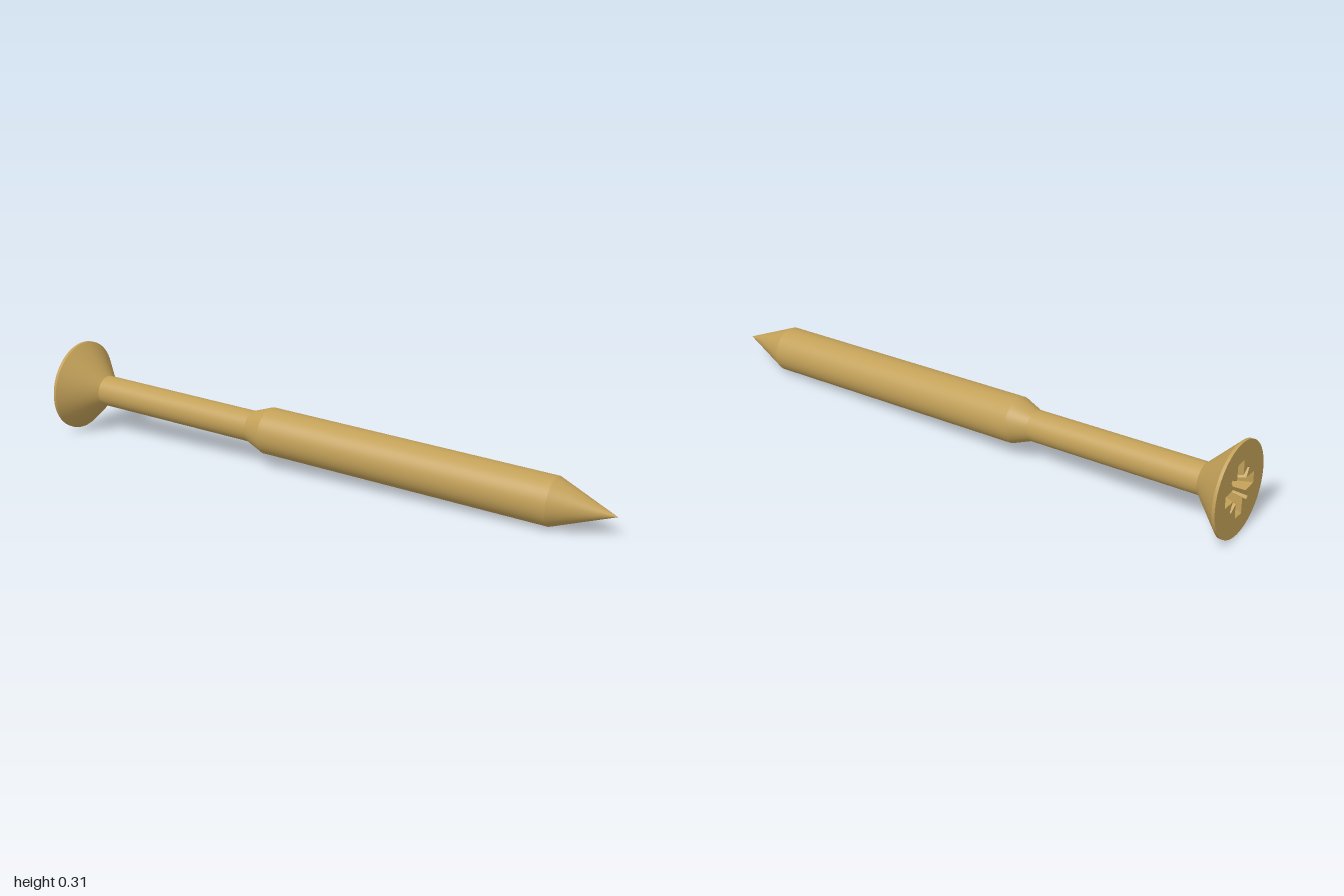
import * as THREE from 'three';

const brass = new THREE.MeshStandardMaterial({ color: 0xc2a058 });
brass.name = 'brass';

// Surface of revolution along +x from (position, radius) to (position, radius)
function section(name, x0, r0, x1, r1) {
  const geo = new THREE.LatheGeometry([new THREE.Vector2(r0, x0), new THREE.Vector2(r1, x1)], 64);
  geo.rotateZ(-Math.PI / 2);
  const mesh = new THREE.Mesh(geo, brass);
  mesh.name = name;
  return mesh;
}

// Cross outline with four wide wings and four narrow diagonal ribs
function crossOutline() {
  const quarter = [[0.092, -0.02], [0.092, 0.02], [0.04, 0.022], [0.058, 0.05], [0.05, 0.058], [0.022, 0.04]];
  const points = [];
  for (let i = 0; i < 4; i++) {
    const angle = i * Math.PI / 2;
    for (const [x, y] of quarter) {
      points.push(new THREE.Vector2(x, y).rotateAround(new THREE.Vector2(), angle));
    }
  }
  return points;
}

// Flat head face, pierced by the driver recess
function headFace(outline, radius) {
  const shape = new THREE.Shape();
  shape.absarc(0, 0, radius, 0, Math.PI * 2);
  shape.holes.push(new THREE.Path(outline));
  const mesh = new THREE.Mesh(new THREE.ShapeGeometry(shape, 32).rotateY(-Math.PI / 2), brass);
  mesh.name = 'headFace';
  return mesh;
}

// Tapering walls and floor of the recess
function recess(outline, depth, taper) {
  const group = new THREE.Group();
  group.name = 'driverRecess';
  const positions = [];
  outline.forEach((p, i) => {
    const q = outline[(i + 1) % outline.length];
    const a = [p.x, p.y, 0], b = [q.x, q.y, 0];
    const c = [q.x * taper, q.y * taper, -depth], d = [p.x * taper, p.y * taper, -depth];
    positions.push(...a, ...b, ...c, ...a, ...c, ...d);
  });
  const wallGeo = new THREE.BufferGeometry();
  wallGeo.setAttribute('position', new THREE.Float32BufferAttribute(positions, 3));
  wallGeo.computeVertexNormals();
  const walls = new THREE.Mesh(wallGeo, brass);
  walls.name = 'recessWalls';
  const floorShape = new THREE.Shape(outline.map((p) => p.clone().multiplyScalar(taper)));
  const floor = new THREE.Mesh(new THREE.ShapeGeometry(floorShape).translate(0, 0, -depth), brass);
  floor.name = 'recessFloor';
  group.add(walls, floor);
  group.rotation.y = -Math.PI / 2;
  return group;
}

export function createModel() {
  const model = new THREE.Group();
  model.name = 'screw';
  const body = new THREE.Group();
  body.name = 'screwBody';

  const outline = crossOutline();
  body.add(
    headFace(outline, 0.157),
    recess(outline, 0.07, 0.5),
    section('headRim', 0, 0.157, 0.01, 0.157),
    section('countersunkHead', 0.01, 0.157, 0.115, 0.053),
    section('shank', 0.115, 0.053, 0.73, 0.053),
    section('shoulder', 0.73, 0.053, 0.798, 0.079),
    section('thickShaft', 0.798, 0.079, 1.81, 0.079),
    section('point', 1.81, 0.079, 2.01, 0)
  );

  // Lay the screw between the centre of its head and its tip
  const head = new THREE.Vector3(-0.967, 0.159, -0.152);
  const along = new THREE.Vector3(0.997, 0.075, 0.268).sub(head);
  body.rotation.order = 'YZX';
  body.rotation.y = -Math.atan2(along.z, along.x);
  body.rotation.z = Math.atan2(along.y, Math.hypot(along.x, along.z));
  body.position.copy(head);
  model.add(body);
  return model;
}
